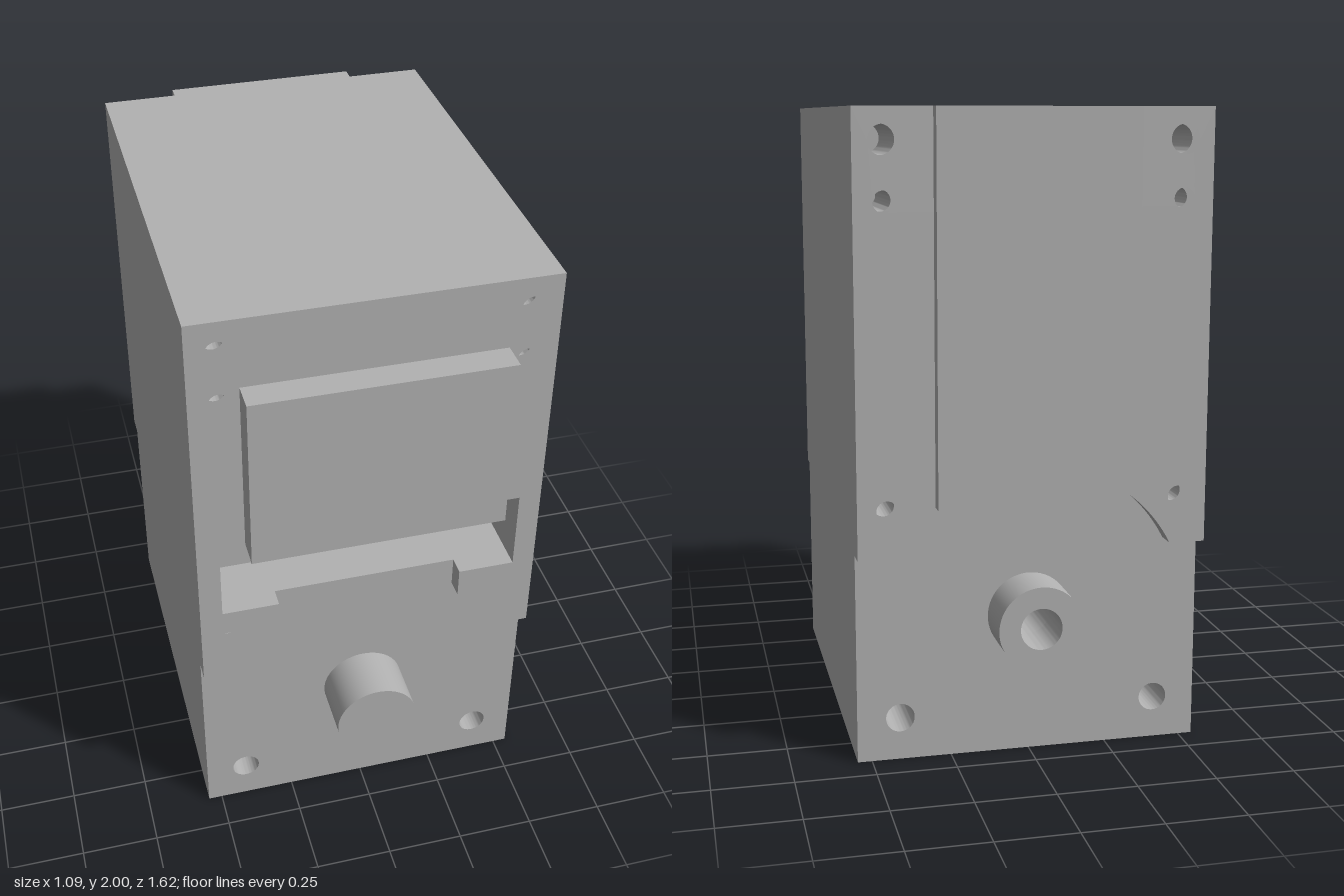
import * as THREE from 'three';
import { toCreasedNormals } from 'three/addons/utils/BufferGeometryUtils.js';

const W = 0.545, H = 2;            // half width and height of the housing
const STEP = 0.665;                // lower edge of the end plates
const AXIS_Y = 0.445, ARC_R = 0.485; // shaft axis and clearance arc around it

export function createModel() {
  const group = new THREE.Group();
  group.name = 'gearHousing';
  const grey = new THREE.MeshStandardMaterial({ color: 0xb2b2b2 });
  grey.name = 'grey';

  // Extrude a shape between two depths, keeping edges sharp and bores smooth
  function slab(name, shape, z0, z1) {
    const geo = new THREE.ExtrudeGeometry(shape, { depth: z1 - z0, bevelEnabled: false, curveSegments: 32 });
    geo.translate(0, 0, z0);
    const mesh = new THREE.Mesh(toCreasedNormals(geo, 0.5), grey);
    mesh.name = name;
    group.add(mesh);
  }

  const polygon = (pts) => new THREE.Shape(pts.map(([x, y]) => new THREE.Vector2(x, y)));
  const rect = (x, y0, y1) => polygon([[-x, y0], [x, y0], [x, y1], [-x, y1]]);
  const disc = (y, r) => new THREE.Shape().absarc(0, y, r, 0, Math.PI * 2, false);

  function bore(shape, x, y, r) {
    shape.holes.push(new THREE.Path().absarc(x, y, r, 0, Math.PI * 2, true));
  }
  // Mirrored pairs of screw holes given as [x, y, radius]
  function drill(shape, holes) {
    for (const [x, y, r] of holes) for (const s of [-1, 1]) bore(shape, s * x, y, r);
    return shape;
  }
  const base = [0.41, 0.135, 0.045];
  const low = [0.455, 0.815, 0.032];
  const mid = [0.455, 1.73, 0.032];
  const topFront = [0.455, 1.905, 0.032];
  const topBack = [0.455, 1.905, 0.045];

  // Core block, layered so that the upper holes are blind
  const rear = drill(rect(W, 0, H), [base, low, mid, topBack]);
  bore(rear, 0, AXIS_Y, 0.065);
  slab('coreRear', rear, -0.65, -0.35);
  slab('coreMiddle', drill(rect(W, 0, H), [base, low]), -0.35, 0.25);
  slab('coreFront', drill(rect(W, 0, H), [base, low, mid, topFront]), 0.25, 0.48);
  const pocket = drill(rect(W, 0, H), [base, low, mid, topFront]);
  pocket.holes.push(rect(0.475, 0.93, 1.2));
  slab('corePocket', pocket, 0.48, 0.63);

  // Front plate with arc clearance, neck and pocket opening
  const a0 = Math.asin((STEP - AXIS_Y) / ARC_R);
  const aNeck = Math.acos(0.295 / ARC_R);
  const front = new THREE.Shape();
  front.moveTo(-W, STEP);
  front.lineTo(-W, H);
  front.lineTo(W, H);
  front.lineTo(W, STEP);
  front.absarc(0, AXIS_Y, ARC_R, a0, aNeck, false);
  for (const [x, y] of [[0.295, 0.93], [0.475, 0.93], [0.475, 1.2], [-0.475, 1.2], [-0.475, 0.93], [-0.295, 0.93]]) front.lineTo(x, y);
  front.absarc(0, AXIS_Y, ARC_R, Math.PI - aNeck, Math.PI - a0, false);
  front.closePath();
  slab('frontPlate', drill(front, [low, mid, topFront]), 0.63, 0.69);

  // Raised cover above the pocket
  slab('frontCover', rect(0.395, 1.2, 1.775), 0.69, 0.78);

  // Back plate and its raised centre, both cut by the clearance arc
  function archedPlate(x, angle, bottom) {
    const s = new THREE.Shape();
    s.moveTo(-x, bottom);
    s.lineTo(-x, H);
    s.lineTo(x, H);
    s.lineTo(x, bottom);
    s.absarc(0, AXIS_Y, ARC_R, angle, Math.PI - angle, false);
    s.closePath();
    return s;
  }
  slab('backPlate', drill(archedPlate(W, a0, STEP), [low, mid, topBack]), -0.72, -0.65);
  const aRib = Math.acos(0.308 / ARC_R);
  slab('backRib', archedPlate(0.308, aRib, AXIS_Y + ARC_R * Math.sin(aRib)), -0.765, -0.72);

  // Solid front shaft and hollow rear shaft
  slab('frontShaft', disc(AXIS_Y, 0.132), 0.63, 0.808);
  const hollow = disc(AXIS_Y, 0.132);
  bore(hollow, 0, AXIS_Y, 0.065);
  slab('rearShaft', hollow, -0.808, -0.65);

  return group;
}
